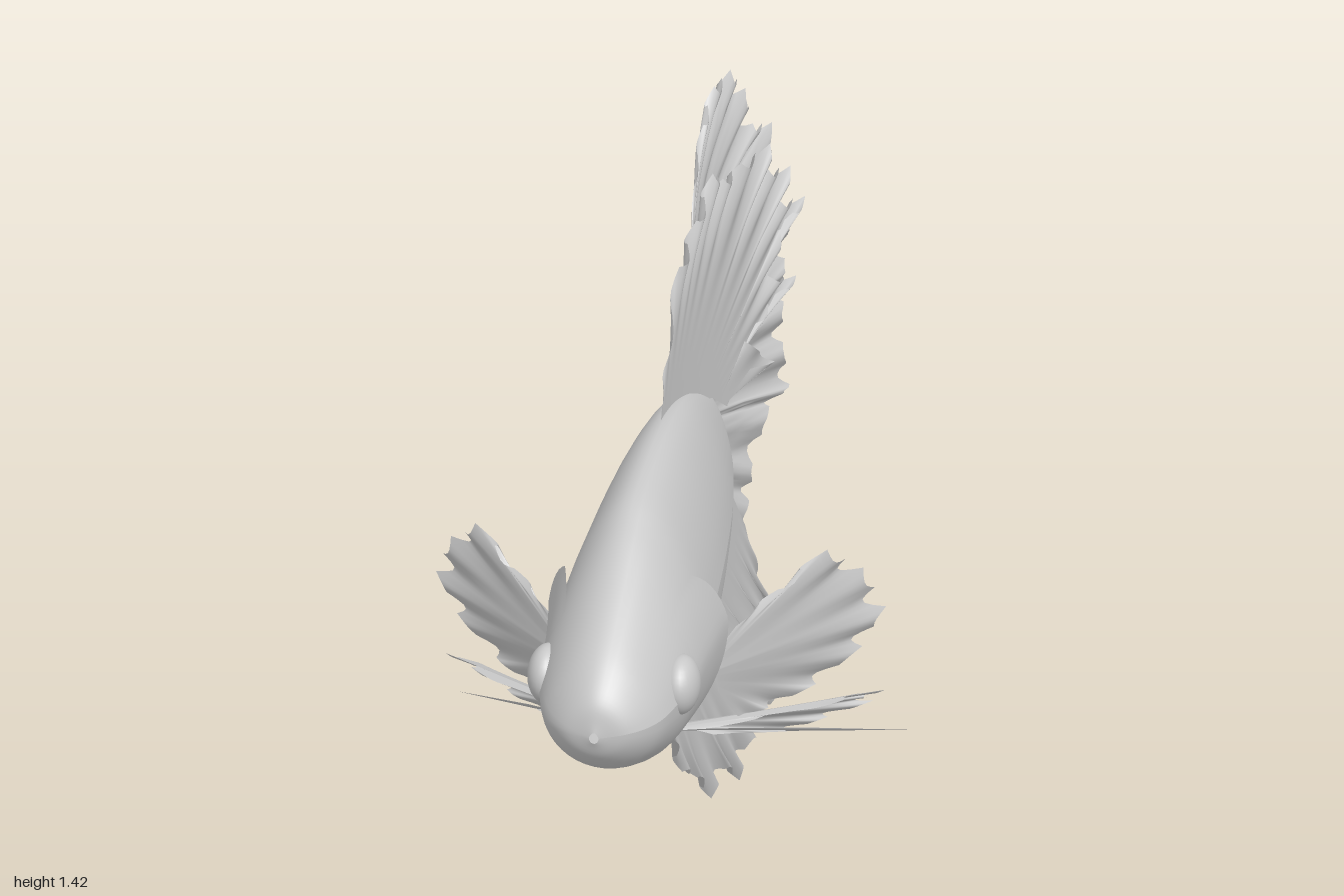
import * as THREE from 'three';

const CX = -0.025; // body centreline

// Indexed grid of (rows+1) x (cols+1) points from a function of u, v in 0..1
function grid(rows, cols, fn) {
  const pos = [], idx = [];
  for (let i = 0; i <= rows; i++)
    for (let j = 0; j <= cols; j++) pos.push(...fn(i / rows, j / cols));
  for (let i = 0; i < rows; i++)
    for (let j = 0; j < cols; j++) {
      const a = i * (cols + 1) + j, b = a + 1, c = a + cols + 1, d = c + 1;
      idx.push(a, c, b, b, c, d);
    }
  const g = new THREE.BufferGeometry();
  g.setAttribute('position', new THREE.Float32BufferAttribute(pos, 3));
  g.setIndex(idx);
  g.computeVertexNormals();
  return g;
}

// Point on a polyline, uniform by index
function along(pts, t) {
  const f = t * (pts.length - 1), i = Math.min(Math.floor(f), pts.length - 2);
  return pts[i].map((v, k) => v + (pts[i + 1][k] - v) * (f - i));
}

// Body stations: z, top, bottom, half width
const stations = [
  [1.0, 0.785, 0.765, 0.008], [0.985, 0.83, 0.73, 0.055], [0.95, 0.868, 0.692, 0.09],
  [0.9, 0.905, 0.66, 0.113], [0.8, 0.965, 0.612, 0.135], [0.7, 1.018, 0.582, 0.137],
  [0.6, 1.052, 0.573, 0.132], [0.4, 1.07, 0.58, 0.122], [0.2, 1.05, 0.61, 0.103],
  [0.0, 0.985, 0.645, 0.072], [-0.08, 0.94, 0.675, 0.055], [-0.13, 0.89, 0.715, 0.035],
  [-0.15, 0.845, 0.755, 0.018], [-0.155, 0.805, 0.795, 0.004],
];
const heights = new THREE.CatmullRomCurve3(
  stations.map(([z, a, b]) => new THREE.Vector3(a, b, z)), false, 'catmullrom', 0.5);
const widths = new THREE.CatmullRomCurve3(
  stations.map((s) => new THREE.Vector3(s[3], 0, 0)), false, 'catmullrom', 0.5);

function skin(t, angle, flare = 1) {
  const h = heights.getPoint(t), w = widths.getPoint(t).x;
  const s = Math.sin(angle);
  const x = w * Math.cos(angle) * (1 - 0.27 * Math.max(0, s)) * flare;
  return [x, (h.x + h.y) / 2 + ((h.x - h.y) / 2) * s, h.z];
}

// Station parameter at a given z
function paramAt(z) {
  let lo = 0, hi = 1;
  for (let i = 0; i < 24; i++) {
    const m = (lo + hi) / 2;
    if (heights.getPoint(m).z > z) lo = m; else hi = m;
  }
  return lo;
}

// Fin membrane stretched from a root line to a toothed outer edge
function fin(root, edge, { tooth = 0.05, ruffle = 0.012, bend = () => 0 } = {}) {
  const cols = (edge.length - 1) * 10;
  return grid(14, cols, (s, t) => {
    const r = along(root, t), e = along(edge, t);
    const f = t * (edge.length - 1);
    const inside = Math.min(1, 8 * t, 8 * (1 - t));
    const reach = s * (1 - tooth * inside * Math.abs(Math.sin(f * Math.PI * 2)));
    const p = r.map((v, k) => v + (e[k] - v) * reach);
    p[0] += bend(p[2]) + ruffle * inside * s ** 4 * Math.sin(f * Math.PI * 2);
    return p;
  });
}
const flat = (pts) => pts.map(([z, y]) => [0, y, z]);

export function createModel() {
  const group = new THREE.Group();
  const grey = new THREE.MeshStandardMaterial({ color: 0xc8c8c8, side: THREE.DoubleSide });
  grey.name = 'plain grey';
  const add = (name, geometry, parent = group) => {
    const m = new THREE.Mesh(geometry, grey);
    m.name = name;
    parent.add(m);
    return m;
  };

  // Body
  add('body', grid(72, 40, (u, v) => {
    const p = skin(u, v * Math.PI * 2);
    p[0] += CX;
    return p;
  }));

  // Tail fin, curving sideways towards its tip
  const tailCurve = new THREE.CatmullRomCurve3([
    [-0.02, -0.1], [-0.065, -0.22], [-0.1, -0.4], [-0.105, -0.55], [-0.08, -0.7],
    [-0.035, -0.85], [0.02, -1.0]].map(([x, z]) => new THREE.Vector3(x, 0, z)));
  const tailPts = tailCurve.getPoints(60).map((p) => [p.x, p.z]);
  const tailBend = (z) => {
    const i = tailPts.findIndex((p) => p[1] <= z);
    return i < 0 ? tailPts[60][0] : tailPts[i][0];
  };
  add('tailFin', fin(
    flat([[-0.11, 0.89], [-0.14, 0.84], [-0.145, 0.8], [-0.14, 0.76], [-0.1, 0.71]]),
    flat([[-0.28, 1.09], [-0.42, 1.25], [-0.54, 1.34], [-0.62, 1.4], [-0.71, 1.41], [-0.78, 1.35],
      [-0.82, 1.26], [-0.9, 1.24], [-0.91, 1.1], [-0.84, 1.03], [-0.87, 0.98], [-0.99, 1.01],
      [-0.97, 0.9], [-0.96, 0.8], [-0.96, 0.7], [-1.0, 0.58], [-0.91, 0.56], [-0.83, 0.45],
      [-0.82, 0.36], [-0.72, 0.27], [-0.62, 0.2], [-0.54, 0.2], [-0.43, 0.3], [-0.3, 0.47],
      [-0.2, 0.61]]),
    { tooth: 0.035, bend: tailBend }));

  // Dorsal and anal fins, sweeping the other way
  const sweep = (z) => -0.03 + 0.14 * Math.max(0, (0.36 - z) / 0.86) ** 1.6;
  add('dorsalFin', fin(
    flat([[0.36, 1.05], [0.25, 1.04], [0.1, 1.0], [0, 0.965], [-0.09, 0.91]]),
    flat([[0.35, 1.08], [0.31, 1.16], [0.21, 1.31], [0.1, 1.36], [0, 1.42], [-0.06, 1.39],
      [-0.16, 1.39], [-0.32, 1.38], [-0.31, 1.33], [-0.43, 1.3], [-0.38, 1.24], [-0.51, 1.21],
      [-0.38, 1.18], [-0.34, 1.09], [-0.47, 1.05], [-0.32, 1.04], [-0.19, 1.01], [-0.36, 0.9],
      [-0.14, 0.96]]),
    { tooth: 0.04, bend: sweep }));
  add('analFin', fin(
    flat([[0.5, 0.59], [0.35, 0.6], [0.2, 0.625], [0, 0.66], [-0.11, 0.72]]),
    flat([[0.45, 0.56], [0.35, 0.47], [0.28, 0.36], [0.2, 0.24], [0.1, 0.17], [0.0, 0.06],
      [-0.09, 0.08], [-0.18, 0], [-0.21, 0.06], [-0.35, 0.04], [-0.36, 0.09], [-0.52, 0.07],
      [-0.41, 0.12], [-0.48, 0.16], [-0.39, 0.22], [-0.41, 0.27], [-0.34, 0.34], [-0.28, 0.46],
      [-0.2, 0.6]]),
    { tooth: 0.04, bend: sweep }));

  // Paired parts, mirrored about the centreline
  for (const [side, sign] of [['left', 1], ['right', -1]]) {
    const half = new THREE.Group();
    half.name = side + 'Side';
    half.position.x = CX;
    half.scale.x = sign;
    group.add(half);

    const eye = add('eye', new THREE.SphereGeometry(0.052, 28, 18), half);
    eye.position.set(0.115, 0.795, 0.83);
    eye.scale.x = 0.65;

    // Gill cover flaring away from the body
    add('gillCover', grid(12, 20, (u, v) => {
      const a = -1.1 + v * 1.75;
      const z = 0.82 + (0.605 + 0.075 * (v * 2 - 0.9) ** 2 - 0.82) * u;
      return skin(paramAt(z), a, 0.99 + 0.23 * u * u);
    }), half);

    add('pectoralFin', fin(
      [[0.14, 0.74, 0.6], [0.14, 0.7, 0.6], [0.14, 0.65, 0.59]],
      [[0.17, 0.78, 0.58], [0.24, 0.84, 0.54], [0.32, 0.905, 0.5], [0.38, 0.85, 0.45],
        [0.42, 0.76, 0.42], [0.38, 0.68, 0.43], [0.3, 0.61, 0.46], [0.22, 0.58, 0.51],
        [0.17, 0.58, 0.55]],
      { tooth: 0.07 }), half);

    // Pelvic fin with a long trailing ray
    add('pelvicFin', fin(
      [[0.03, 0.58, 0.63], [0.03, 0.575, 0.58]],
      [[0.12, 0.572, 0.59], [0.28, 0.57, 0.49], [0.42, 0.565, 0.38], [0.38, 0.53, 0.34],
        [0.39, 0.5, 0.31], [0.31, 0.48, 0.35], [0.24, 0.47, 0.4], [0.12, 0.52, 0.52]],
      { tooth: 0.05 }), half);
    add('pelvicRay', fin(
      [[0.05, 0.57, 0.6], [0.05, 0.55, 0.57]],
      [[0.26, 0.475, 0.39], [0.45, 0.38, 0.2], [0.25, 0.455, 0.37]],
      { tooth: 0, ruffle: 0 }), half);
  }
  return group;
}
